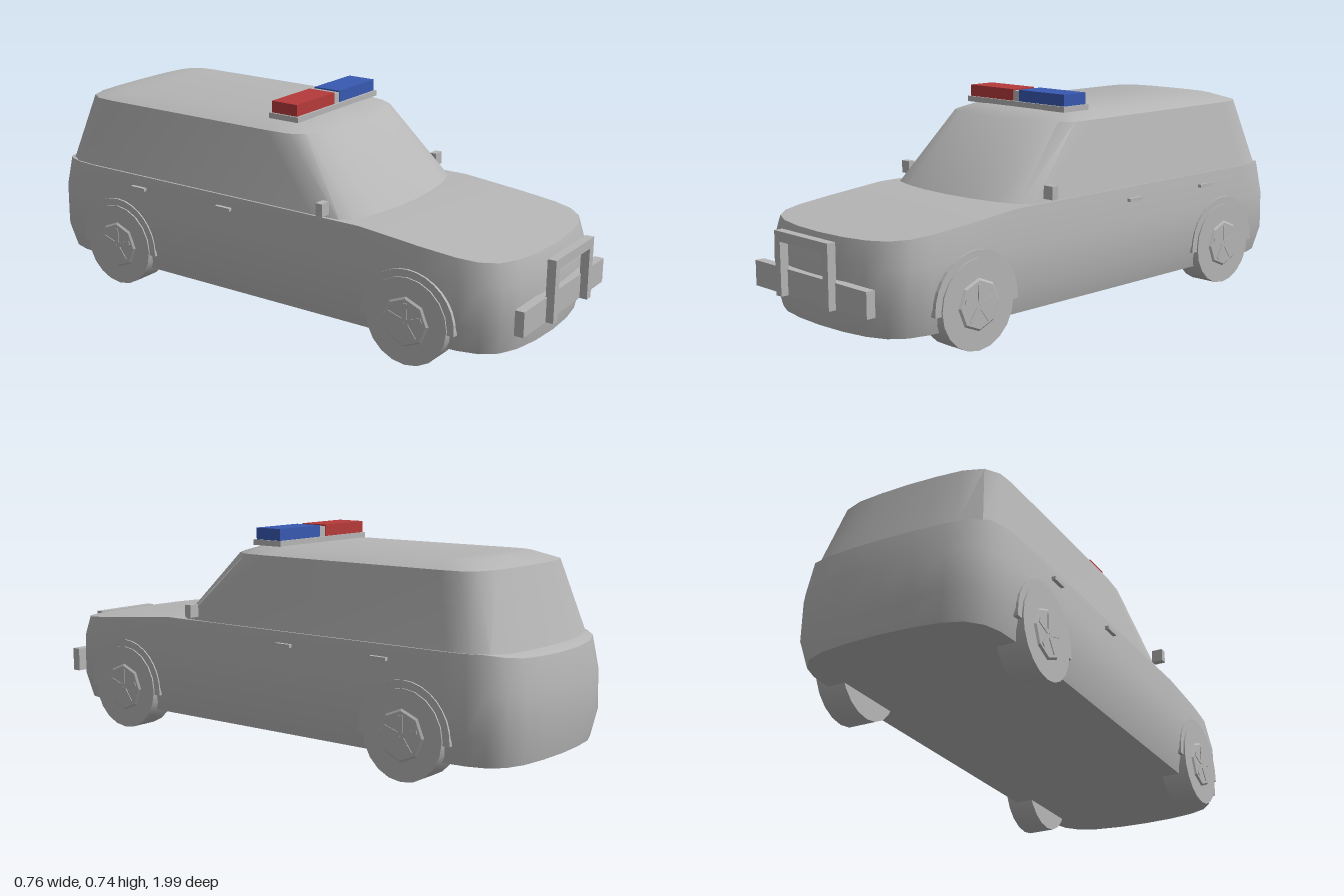
import * as THREE from 'three';
import { toCreasedNormals } from 'three/addons/utils/BufferGeometryUtils.js';

const mat = (name, hex) => {
  const m = new THREE.MeshStandardMaterial({ color: hex });
  m.name = name;
  return m;
};

// Closed shell through stacked rings; each ring is the +x half outline from front centre to rear centre.
function loft(halfRings) {
  const pos = [], idx = [];
  const m = halfRings[0].length, n = 2 * m - 2;
  for (const half of halfRings) {
    const mirrored = half.slice(1, -1).reverse().map(([x, y, z]) => [-x, y, z]);
    for (const p of [...half, ...mirrored]) pos.push(...p);
  }
  for (let r = 0; r < halfRings.length - 1; r++) {
    for (let i = 0; i < n; i++) {
      const a = r * n + i, b = r * n + (i + 1) % n;
      idx.push(a, b, b + n, a, b + n, a + n);
    }
  }
  // Caps made of strips from side to side
  const top = (halfRings.length - 1) * n;
  for (let i = 0; i < m - 1; i++) {
    const l0 = (n - i) % n, l1 = n - i - 1;
    for (const [a, b, c] of [[i, i + 1, l1], [i, l1, l0]]) {
      if (a === b || b === c || a === c) continue;
      idx.push(top + a, top + b, top + c, a, c, b);
    }
  }
  const g = new THREE.BufferGeometry();
  g.setAttribute('position', new THREE.Float32BufferAttribute(pos, 3));
  g.setIndex(idx);
  return toCreasedNormals(g, 0.65);
}

export function createModel() {
  const car = new THREE.Group();
  car.name = 'patrolCar';
  const grey = mat('bodyGrey', 0xb6b6b6);
  const red = mat('lampRed', 0xb63a3a);
  const blue = mat('lampBlue', 0x3859b2);

  const add = (name, geometry, material = grey, parent = car) => {
    const mesh = new THREE.Mesh(geometry, material);
    mesh.name = name;
    parent.add(mesh);
    return mesh;
  };
  // Box given by its limits
  const box = (name, x0, x1, y0, y1, z0, z1, material = grey) => {
    const mesh = add(name, new THREE.BoxGeometry(x1 - x0, y1 - y0, z1 - z0), material);
    mesh.position.set((x0 + x1) / 2, (y0 + y1) / 2, (z0 + z1) / 2);
    return mesh;
  };

  // Lower body with sloping bonnet
  const plan = [[0, 0.953], [0.12, 0.947], [0.22, 0.93], [0.29, 0.9], [0.333, 0.85], [0.352, 0.78],
    [0.36, 0.65], [0.36, 0.42], [0.36, -0.76], [0.353, -0.84], [0.333, -0.9], [0.29, -0.946],
    [0.22, -0.972], [0.12, -0.985], [0, -0.99]];
  const waist = z => z > 0.4 ? 0.42 - (z - 0.4) * 0.094 : z < -0.9 ? 0.42 + (z + 0.9) * 0.33 : 0.42;
  const bodyRing = (y, sx, sz) => plan.map(([x, z]) => {
    const zz = -0.018 + (z + 0.018) * sz;
    return [x * sx, y ?? waist(zz), zz];
  });
  add('lowerBody', loft([bodyRing(0.075, 0.93, 0.984), bodyRing(0.165, 1, 1),
    bodyRing(0.3, 1, 0.998), bodyRing(null, 0.96, 0.978)]));

  // Cabin and roof
  const ring = (y, pts) => pts.map(([x, z]) => [x, y, z]);
  add('cabin', loft([
    ring(0.412, [[0, 0.418], [0.12, 0.412], [0.22, 0.395], [0.3, 0.37], [0.333, 0.33], [0.34, 0.22],
      [0.34, -0.76], [0.333, -0.84], [0.3, -0.89], [0.22, -0.912], [0.12, -0.921], [0, -0.925]]),
    ring(0.658, [[0, 0.2], [0.1, 0.195], [0.19, 0.175], [0.255, 0.14], [0.285, 0.09], [0.291, 0],
      [0.291, -0.7], [0.285, -0.765], [0.255, -0.812], [0.19, -0.835], [0.1, -0.843], [0, -0.846]]),
    ring(0.685, [[0, 0.11], [0.08, 0.105], [0.15, 0.09], [0.2, 0.06], [0.22, 0.03], [0.225, -0.05],
      [0.225, -0.65], [0.22, -0.7], [0.2, -0.735], [0.15, -0.755], [0.08, -0.762], [0, -0.765]]),
  ]));

  // Wheel arch profile: half ring with small feet
  const arch = new THREE.Shape();
  arch.absarc(0, 0, 0.172, 0, Math.PI, false);
  arch.lineTo(-0.172, -0.012);
  arch.lineTo(-0.145, -0.012);
  arch.absarc(0, 0, 0.145, Math.PI, 0, true);
  arch.lineTo(0.145, -0.012);
  arch.lineTo(0.172, -0.012);
  const archGeo = new THREE.ExtrudeGeometry(arch, { depth: 0.035, bevelEnabled: false, curveSegments: 8 });
  archGeo.rotateY(Math.PI / 2);

  const tyreGeo = toCreasedNormals(new THREE.CylinderGeometry(0.148, 0.148, 0.1, 20).rotateZ(Math.PI / 2), 0.6);
  const hubGeo = toCreasedNormals(new THREE.CylinderGeometry(0.078, 0.085, 0.006, 8).rotateZ(-Math.PI / 2), 0.3);
  const spokeGeo = new THREE.BoxGeometry(0.005, 0.062, 0.016).translate(0, 0.033, 0);

  for (const side of [1, -1]) {
    const label = side > 0 ? 'left' : 'right';
    for (const [end, z] of [['Front', 0.605], ['Rear', -0.62]]) {
      const wheel = new THREE.Group();
      wheel.name = `${label}${end}Wheel`;
      wheel.position.set(side * 0.32, 0.148, z);
      if (side < 0) wheel.rotation.y = Math.PI;
      add('tyre', tyreGeo, grey, wheel);
      add('hub', hubGeo, grey, wheel).position.x = 0.053;
      for (let i = 0; i < 5; i++) {
        const spoke = add('spoke', spokeGeo, grey, wheel);
        spoke.position.x = 0.056;
        spoke.rotation.x = i * Math.PI * 2 / 5;
      }
      add('wheelArch', archGeo, grey, wheel).position.x = 0.01;
      car.add(wheel);
    }
    // Mirrors and door handles
    const sideBox = (name, x0, x1, ...rest) =>
      box(name, Math.min(side * x0, side * x1), Math.max(side * x0, side * x1), ...rest);
    sideBox(`${label}Mirror`, 0.337, 0.376, 0.432, 0.476, 0.264, 0.289);
    for (const z of [-0.135, -0.52]) {
      sideBox(`${label}DoorHandle`, 0.34, 0.364, 0.371, 0.382, z - 0.031, z + 0.031);
    }
    sideBox('pushBarUpright', 0.109, 0.137, 0.156, 0.332, 0.97, 1);
  }

  // Front bumper and push bar
  box('bumper', -0.287, 0.287, 0.156, 0.24, 0.942, 0.974);
  box('pushBarTop', -0.137, 0.137, 0.332, 0.365, 0.97, 1);

  // Roof light bar
  box('lightBarBase', -0.238, 0.238, 0.684, 0.703, -0.026, 0.094);
  box('lightBarCentre', -0.015, 0.015, 0.703, 0.738, -0.016, 0.084);
  box('redLamp', -0.231, -0.015, 0.703, 0.743, -0.018, 0.086, red);
  box('blueLamp', 0.015, 0.231, 0.703, 0.743, -0.018, 0.086, blue);

  return car;
}
